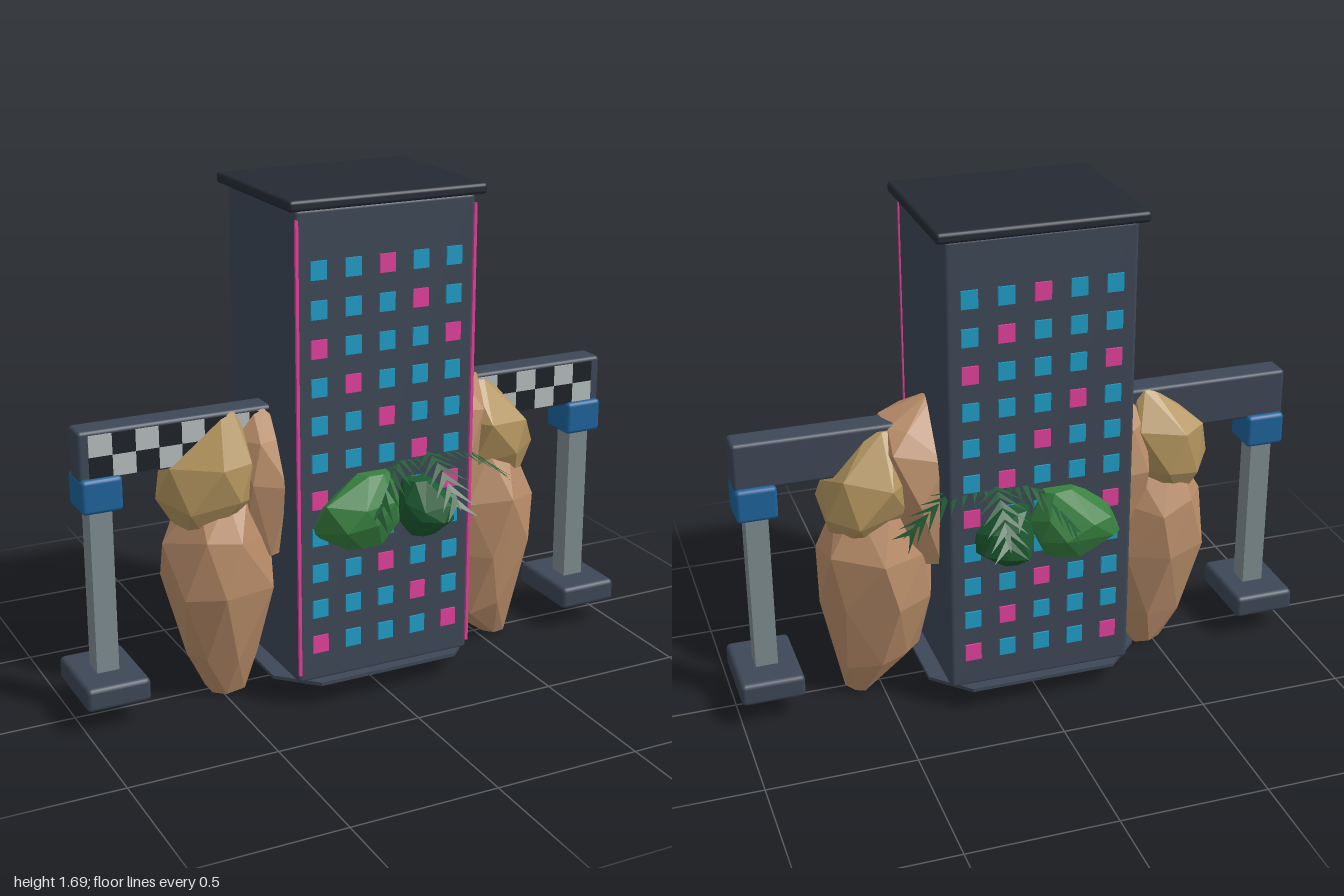
import * as THREE from 'three';
import { RoundedBoxGeometry } from 'three/addons/geometries/RoundedBoxGeometry.js';
import { ConvexGeometry } from 'three/addons/geometries/ConvexGeometry.js';

const mat = (color, opts = {}) => new THREE.MeshStandardMaterial({ color, ...opts });
const slate = mat(0x3d4756);
const roofDark = mat(0x252a33);
const cyan = mat(0x1f9cc6);
const pink = mat(0xe0409a);
const steel = mat(0x7d8b8f);
const blue = mat(0x1d629a);
const white = mat(0xb4bcbc);
const black = mat(0x1d2127);
const tan = mat(0xb98d69, { flatShading: true });
const sand = mat(0xb2945e, { flatShading: true });
const grey = mat(0x6f7a80, { flatShading: true });
const leafLight = mat(0x37803f, { flatShading: true });
const leafDark = mat(0x1d5a31, { flatShading: true });
const frondGreen = mat(0x215a35, { side: THREE.DoubleSide, flatShading: true });

// Small seeded generator
function seeded(seed) {
  let s = seed;
  return () => {
    s = (s * 16807) % 2147483647;
    return s / 2147483647;
  };
}

export function createModel() {
  const model = new THREE.Group();

  function add(parent, name, geometry, material, x = 0, y = 0, z = 0) {
    const mesh = new THREE.Mesh(geometry, material);
    mesh.name = name;
    mesh.position.set(x, y, z);
    parent.add(mesh);
    return mesh;
  }
  function group(name) {
    const g = new THREE.Group();
    g.name = name;
    model.add(g);
    return g;
  }
  const box = (w, h, d) => new THREE.BoxGeometry(w, h, d);
  const round = (w, h, d, r) => new RoundedBoxGeometry(w, h, d, 2, r);

  // Faceted boulder: hull of jittered rings, each [y, centre x, radius x, radius z]
  function boulder(parent, name, rings, material, seed, z = 0, sides = 7) {
    const rand = seeded(seed * 7919);
    const points = [];
    rings.forEach(([y, cx, rx, rz], i) => {
      for (let k = 0; k < sides; k++) {
        const a = ((k + (i % 2) * 0.5 + (rand() - 0.5) * 0.4) / sides) * Math.PI * 2;
        const r = 0.93 + rand() * 0.13;
        const dy = i === 0 || i === rings.length - 1 ? 0 : (rand() - 0.5) * 0.05;
        points.push(new THREE.Vector3(cx + Math.cos(a) * rx * r, y + dy, z + Math.sin(a) * rz * r));
      }
    });
    add(parent, name, new ConvexGeometry(points), material);
  }

  // Tower and roof
  const tower = group('tower');
  add(tower, 'towerBody', round(0.63, 1.575, 0.52, 0.014), slate, 0, 0.875, 0);
  add(tower, 'roof', round(0.69, 0.036, 0.57, 0.012), roofDark, 0, 1.677, 0);
  for (const s of [-1, 1]) {
    add(tower, 'neonStrip', box(0.01, 1.51, 0.01), pink, s * 0.312, 0.875, 0.262);
  }

  // Window grids on the front and back
  const windows = group('windows');
  const pane = box(0.055, 0.06, 0.012);
  for (const s of [-1, 1]) {
    for (let row = 0; row < 11; row++) {
      for (let col = 0; col < 5; col++) {
        const lit = (col - row + 14) % 4 === 0;
        add(windows, 'window', pane, lit ? pink : cyan, (col - 2) * 0.119, 1.47 - row * 0.125, s * 0.26);
      }
    }
  }

  // Thin chamfered plate under the tower
  const px = 0.37, pz = 0.295, c = 0.12;
  const plate = new THREE.Shape([
    [px, pz - c], [px - c, pz], [c - px, pz], [-px, pz - c],
    [-px, c - pz], [c - px, -pz], [px - c, -pz], [px, c - pz],
  ].map(([x, y]) => new THREE.Vector2(x, y)));
  const plateGeo = new THREE.ExtrudeGeometry(plate, { depth: 0.012, bevelEnabled: false });
  plateGeo.rotateX(-Math.PI / 2);
  add(model, 'basePlate', plateGeo, slate, 0, 0.083, 0);

  // Gate: beam, checkers and posts
  const gate = group('gate');
  add(gate, 'beam', round(1.92, 0.165, 0.096, 0.012), slate, 0, 0.907, 0);
  const tile = box(0.0772, 0.071, 0.008);
  for (let i = 0; i < 24; i++) {
    if (Math.abs(i - 11.5) < 3.5) continue;
    for (let j = 0; j < 2; j++) {
      add(gate, 'checkerTile', tile, (i + j) % 2 ? white : black, (i - 11.5) * 0.0772, 0.869 + j * 0.071, 0.047);
    }
  }
  for (const s of [-1, 1]) {
    add(gate, 'post', box(0.075, 0.6, 0.076), steel, s * 0.892, 0.44, 0);
    add(gate, 'postCap', round(0.136, 0.115, 0.136, 0.014), blue, s * 0.892, 0.778, 0);
    add(gate, 'postFoot', round(0.215, 0.08, 0.293, 0.016), slate, s * 0.892, 0.125, 0);
  }

  // Side rocks
  const rocks = group('rocks');
  boulder(rocks, 'leftLowerRock', [
    [0.01, 0.57, 0.05, 0.06], [0.14, 0.5, 0.15, 0.13], [0.36, 0.5, 0.19, 0.195],
    [0.55, 0.5, 0.195, 0.2], [0.73, 0.49, 0.13, 0.12],
  ], tan, 3);
  boulder(rocks, 'rightLowerRock', [
    [0.005, -0.47, 0.07, 0.07], [0.14, -0.49, 0.13, 0.13], [0.4, -0.49, 0.19, 0.19],
    [0.58, -0.49, 0.185, 0.18], [0.72, -0.48, 0.12, 0.11],
  ], tan, 8);
  boulder(rocks, 'leftUpperRock', [
    [0.58, 0.55, 0.09, 0.09], [0.7, 0.53, 0.165, 0.165], [0.82, 0.51, 0.16, 0.17], [0.97, 0.47, 0.05, 0.06],
  ], sand, 12);
  boulder(rocks, 'rightUpperRock', [
    [0.58, -0.53, 0.09, 0.09], [0.7, -0.52, 0.17, 0.165], [0.84, -0.51, 0.16, 0.165], [0.985, -0.45, 0.04, 0.05],
  ], sand, 21);
  boulder(rocks, 'leftInnerRock', [
    [0.5, 0.33, 0.13, 0.15], [0.75, 0.34, 0.16, 0.18], [0.9, 0.35, 0.16, 0.16],
    [0.99, 0.37, 0.1, 0.09], [1.06, 0.29, 0.03, 0.02],
  ], tan, 31);
  boulder(rocks, 'rightInnerRock', [
    [0.5, -0.33, 0.12, 0.13], [0.75, -0.34, 0.15, 0.17], [0.9, -0.34, 0.11, 0.13], [0.98, -0.34, 0.04, 0.05],
  ], tan, 44);

  // Rubble below the plate
  boulder(rocks, 'greyRubble', [[0.015, 0, 0.06, 0.05], [0.05, 0.0, 0.15, 0.11], [0.085, 0, 0.17, 0.12]], grey, 5, -0.02);
  boulder(rocks, 'tanRubble', [[0.045, 0.14, 0.04, 0.05], [0.085, 0.15, 0.1, 0.1]], tan, 6, 0.03);
  boulder(rocks, 'tanRubble', [[0.05, -0.1, 0.04, 0.04], [0.085, -0.1, 0.08, 0.08]], tan, 9, 0.06);

  // Arched frond with pairs of narrow leaflets, pointing along +x
  function frondGeometry(length, drop) {
    const verts = [];
    const spine = (t) => new THREE.Vector3(length * t, 0.12 * drop * Math.sin(t * Math.PI) - drop * t * t, 0);
    const tri = (...p) => p.forEach((v) => verts.push(v.x, v.y, v.z));
    const n = 8;
    for (let i = 0; i < n; i++) {
      const t0 = i / n, t1 = (i + 0.8) / n;
      const a = spine(t0), b = spine(t1);
      const reach = 0.095 * (1 - 0.45 * t0);
      for (const s of [-1, 1]) {
        const tip = spine(Math.min(1, t0 + 0.16)).add(new THREE.Vector3(0.03, -0.025, s * reach));
        tri(a, b, tip);
        const side = new THREE.Vector3(0, 0, s * 0.006);
        tri(a, b, b.clone().add(side));
      }
    }
    const end = spine(1);
    tri(spine(0.86).setZ(0.012), spine(0.86).setZ(-0.012), end.setX(length + 0.02));
    const g = new THREE.BufferGeometry();
    g.setAttribute('position', new THREE.Float32BufferAttribute(verts, 3));
    g.computeVertexNormals();
    return g;
  }

  // Bushes and fronds on the front and back
  const plants = group('plants');
  for (const s of [-1, 1]) {
    boulder(plants, 'lightBush', [
      [0.55, -0.09, 0.08, 0.05], [0.62, -0.11, 0.15, 0.095], [0.7, -0.1, 0.14, 0.09], [0.79, -0.05, 0.06, 0.04],
    ], leafLight, 15, s * 0.27);
    boulder(plants, 'darkBush', [
      [0.56, 0.12, 0.05, 0.05], [0.61, 0.13, 0.1, 0.095], [0.68, 0.125, 0.1, 0.09], [0.75, 0.1, 0.05, 0.05],
    ], leafDark, 17, s * 0.28);
    const frond = (x, y, z, angle, length, drop) => {
      const f = add(plants, 'frond', frondGeometry(length, drop), frondGreen, x, y, s * z);
      f.rotation.y = -s * angle;
    };
    frond(0.15, 0.82, 0.19, 1.5, 0.25, 0.14);
    frond(0.15, 0.82, 0.2, 0.22, 0.31, 0.13);
    frond(0.12, 0.81, 0.21, 2.5, 0.26, 0.15);
  }

  return model;
}
